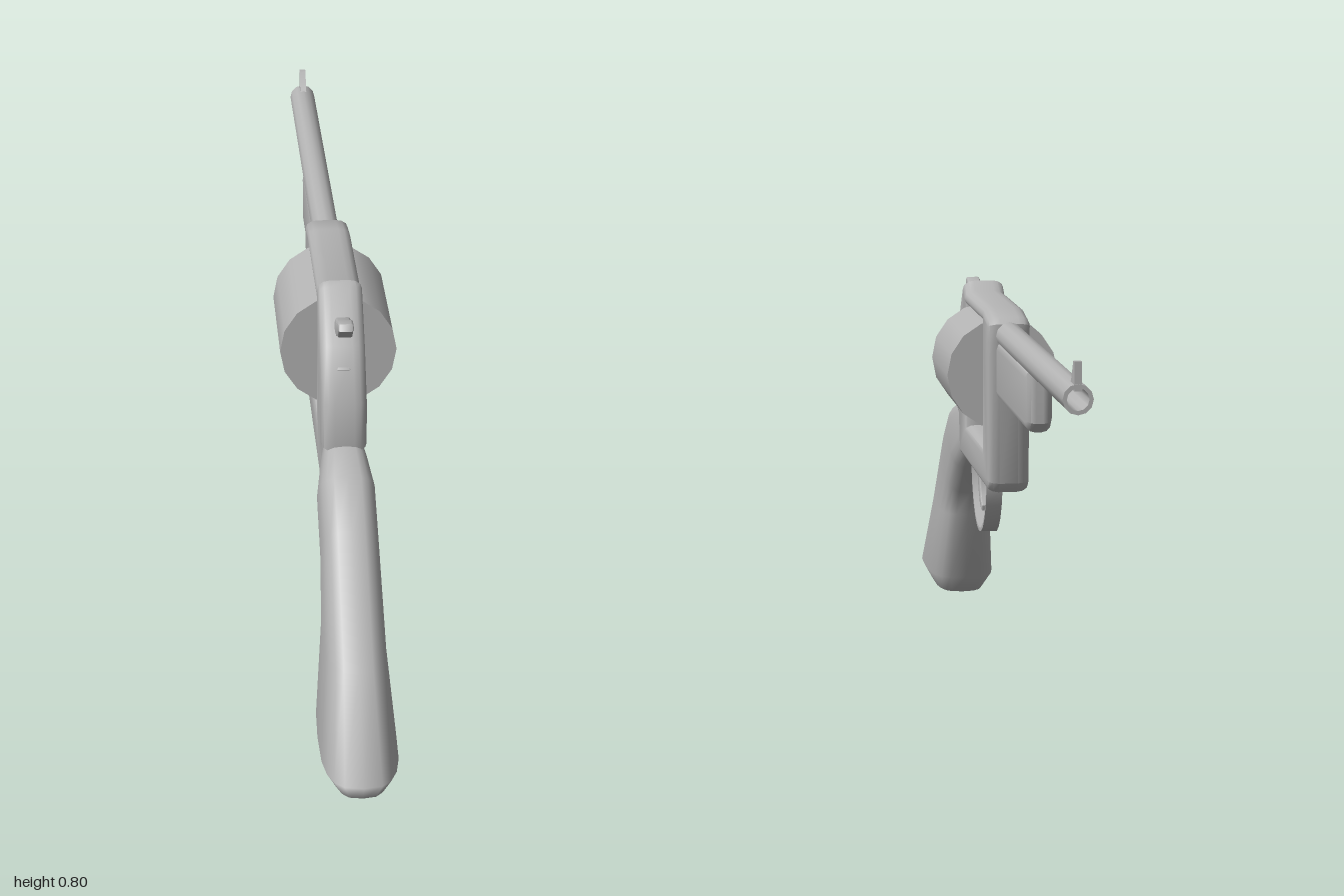
import * as THREE from 'three';
import { toCreasedNormals } from 'three/addons/utils/BufferGeometryUtils.js';

const steel = new THREE.MeshStandardMaterial({ color: 0xb4b4b4 });
steel.name = 'grey steel';

// Side profile given as [z, y] points
const outline = (pts, Type = THREE.Shape) => new Type(pts.map(([z, y]) => new THREE.Vector2(z, y)));

// Extrude a side profile symmetrically about x = 0, with rounded edges kept inside the profile
function slab(shape, width, bevel, thickness = bevel) {
  const depth = width - 2 * thickness;
  const g = new THREE.ExtrudeGeometry(shape, {
    depth, bevelEnabled: bevel > 0, bevelSize: bevel, bevelThickness: thickness,
    bevelOffset: -bevel, bevelSegments: 3, curveSegments: 8,
  });
  g.translate(0, 0, -depth / 2);
  g.rotateY(-Math.PI / 2);
  return toCreasedNormals(g, 0.75);
}

// Grip: rounded sections running from a back point to a front point, [z, y, z, y, halfWidth]
function gripGeometry() {
  const sections = [
    [0.45, 0.51, 0.37, 0.42, 0.042],
    [0.48, 0.505, 0.385, 0.395, 0.047],
    [0.555, 0.48, 0.44, 0.345, 0.058],
    [0.66, 0.415, 0.535, 0.27, 0.058],
    [0.86, 0.21, 0.575, 0.21, 0.062],
    [1.0, 0.035, 0.63, 0.045, 0.078],
    [0.98, 0.0, 0.68, 0.0, 0.056],
  ];
  const N = 20, pos = [], idx = [];
  const soft = (v) => Math.sign(v) * Math.pow(Math.abs(v), 0.65);
  const ring = ([bz, by, fz, fy, w]) => {
    for (let j = 0; j < N; j++) {
      const t = (j / N) * Math.PI * 2, c = soft(Math.cos(t)), s = soft(Math.sin(t));
      pos.push(w * s, (by + fy) / 2 + ((by - fy) / 2) * c, (bz + fz) / 2 + ((bz - fz) / 2) * c);
    }
  };
  sections.forEach(ring);
  for (let i = 0; i < sections.length - 1; i++) {
    for (let j = 0; j < N; j++) {
      const a = i * N + j, b = i * N + ((j + 1) % N);
      idx.push(a, a + N, b, b, a + N, b + N);
    }
  }
  // Butt cap
  const last = sections.length * N;
  ring(sections[sections.length - 1]);
  pos.push(0, 0, 0.83);
  for (let j = 0; j < N; j++) idx.push(last + N, last + ((j + 1) % N), last + j);
  const g = new THREE.BufferGeometry();
  g.setAttribute('position', new THREE.Float32BufferAttribute(pos, 3));
  g.setIndex(idx);
  g.computeVertexNormals();
  return g;
}

export function createModel() {
  const model = new THREE.Group();
  model.name = 'revolver';
  const add = (name, geometry) => {
    const mesh = new THREE.Mesh(geometry, steel);
    mesh.name = name;
    model.add(mesh);
    return mesh;
  };

  // Frame with the window for the cylinder
  const frame = outline([
    [0.39, 0.39], [0.40, 0.44], [0.41, 0.475], [0.47, 0.495], [0.47, 0.60], [0.41, 0.70],
    [0.325, 0.795], [0.305, 0.80], [0.275, 0.78], [-0.02, 0.78], [-0.10, 0.768], [-0.117, 0.755],
    [-0.115, 0.715], [-0.105, 0.68], [-0.105, 0.41], [-0.085, 0.388],
  ]);
  frame.holes.push(outline([[0.28, 0.475], [-0.01, 0.475], [-0.01, 0.745], [0.28, 0.745]], THREE.Path));
  add('frame', slab(frame, 0.09, 0.015, 0.025));

  // Cylinder
  const drum = new THREE.CylinderGeometry(0.12, 0.12, 0.285, 16);
  drum.rotateX(Math.PI / 2);
  drum.translate(0, 0.632, 0.135);
  add('cylinder', drum);

  // Hollow barrel
  const bore = [[0.029, 0.08], [0.029, 1], [0.021, 1], [0.021, 0.75], [0, 0.75]];
  const barrel = new THREE.LatheGeometry(bore.map(([r, y]) => new THREE.Vector2(r, y)), 12);
  barrel.rotateX(-Math.PI / 2);
  barrel.translate(0, 0.73, 0);
  add('barrel', toCreasedNormals(barrel, 0.8));

  // Housing under the barrel
  add('ejectorHousing', slab(outline([
    [-0.09, 0.59], [-0.09, 0.72], [-0.54, 0.72], [-0.54, 0.61], [-0.52, 0.59],
  ]), 0.054, 0.02));

  // Front sight
  add('frontSight', slab(outline([
    [-0.94, 0.745], [-0.962, 0.763], [-0.985, 0.80], [-0.998, 0.80], [-0.998, 0.745],
  ]), 0.014, 0));

  // Hammer with its curled spur
  add('hammer', slab(outline([
    [0.34, 0.66], [0.43, 0.64], [0.435, 0.66], [0.385, 0.72], [0.42, 0.728], [0.465, 0.745],
    [0.488, 0.765], [0.505, 0.775], [0.495, 0.787], [0.47, 0.785], [0.445, 0.767],
    [0.40, 0.76], [0.365, 0.735], [0.33, 0.72],
  ]), 0.03, 0.004));

  // Trigger
  add('trigger', slab(outline([
    [0.325, 0.41], [0.32, 0.37], [0.30, 0.325], [0.275, 0.295], [0.25, 0.283],
    [0.247, 0.295], [0.265, 0.315], [0.277, 0.35], [0.282, 0.41],
  ]), 0.026, 0.004));

  // Trigger guard: a thin curved band
  const arc = (rz, ry) => Array.from({ length: 13 }, (_, i) => {
    const t = Math.PI * (1 + i / 12);
    return [0.25 + rz * Math.cos(t), 0.395 + ry * Math.sin(t)];
  });
  add('triggerGuard', slab(outline([...arc(0.133, 0.158), ...arc(0.126, 0.15).reverse()]), 0.036, 0));

  add('grip', gripGeometry());
  return model;
}
